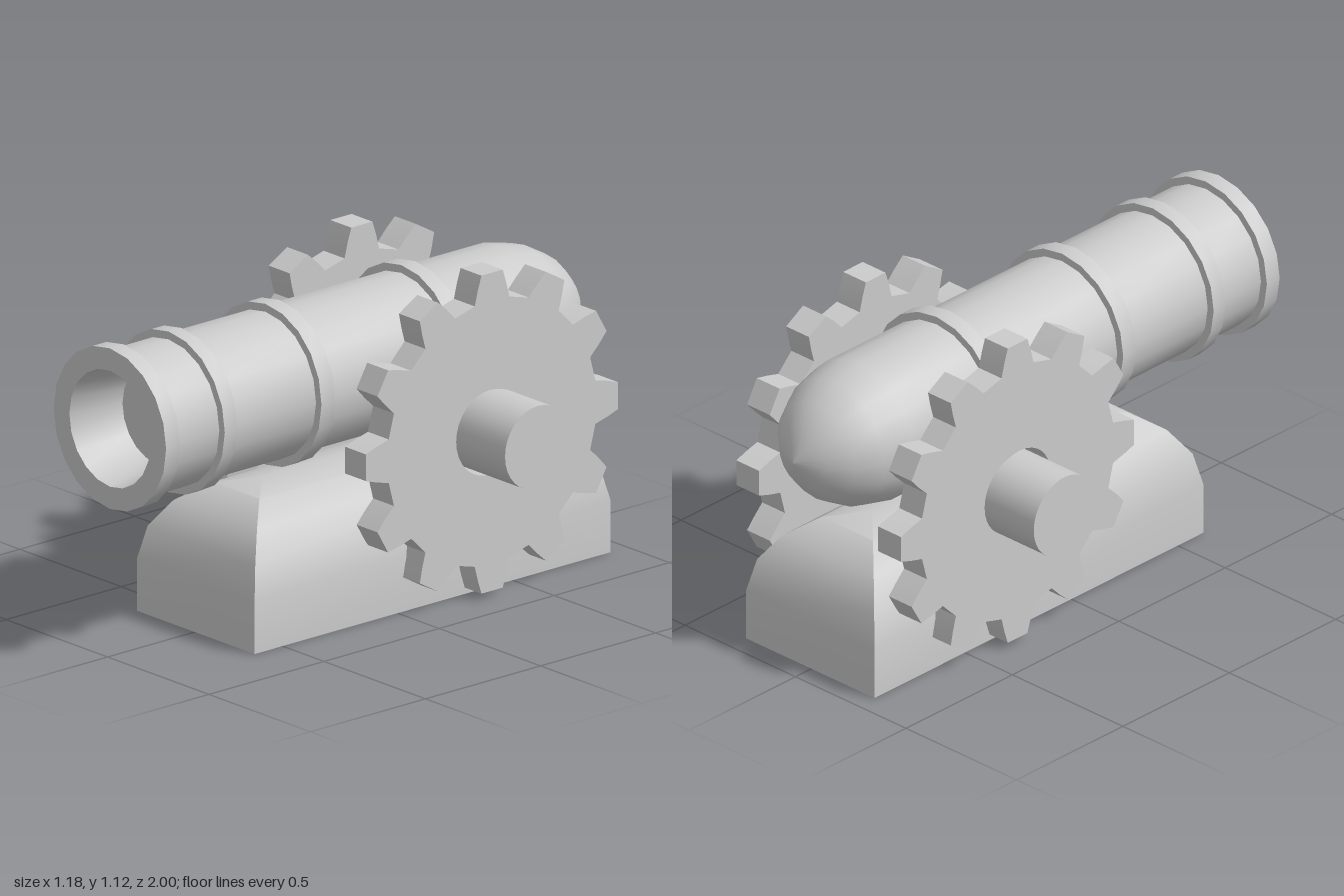
import * as THREE from 'three';
import { toCreasedNormals } from 'three/addons/utils/BufferGeometryUtils.js';

const material = new THREE.MeshStandardMaterial({ color: 0xcccccc });

function addMesh(group, name, geometry, x = 0, y = 0, z = 0) {
  const mesh = new THREE.Mesh(geometry, material);
  mesh.name = name;
  mesh.position.set(x, y, z);
  group.add(mesh);
  return mesh;
}

// Barrel: one turned profile with a domed breech, raised bands and a tapered bore.
function barrelGeometry() {
  const body = 0.25, band = 0.277;
  const profile = [[0, -1], [0.11, -0.95], [0.175, -0.89], [0.225, -0.8], [body, -0.69]];
  for (const [a, b] of [[-0.325, -0.265], [0.265, 0.325], [0.69, 0.745], [0.94, 1]]) {
    profile.push([body, a], [band, a], [band, b]);
    if (b < 1) profile.push([body, b]);
  }
  profile.push([0.2, 1], [0.165, 0.8], [0, 0.8]);
  const lathe = new THREE.LatheGeometry(profile.map(([r, h]) => new THREE.Vector2(r, h)), 20);
  lathe.rotateX(Math.PI / 2);
  return toCreasedNormals(lathe, 0.6);
}

// Gear wheel: twelve tapered teeth and an axle hole, extruded along x.
function gearGeometry(thickness) {
  const tooth = [[-9.5, 0.455], [-7, 0.505], [-4.8, 0.55], [4.8, 0.55], [7, 0.505], [9.5, 0.455]];
  const points = [];
  for (let i = 0; i < 12; i++) {
    for (const [offset, r] of tooth) {
      const a = THREE.MathUtils.degToRad(i * 30 + offset);
      points.push(new THREE.Vector2(r * Math.cos(a), r * Math.sin(a)));
    }
  }
  const shape = new THREE.Shape(points);
  shape.holes.push(new THREE.Path().absarc(-0.01, 0, 0.146, 0, Math.PI * 2, true));
  const geometry = new THREE.ExtrudeGeometry(shape, {
    depth: thickness, bevelEnabled: false, curveSegments: 16,
  });
  geometry.translate(0, 0, -thickness / 2);
  geometry.rotateY(Math.PI / 2);
  return toCreasedNormals(geometry, 0.4);
}

// Base block: rectangles inset level by level, closing to a ridge, with mitred hips.
function baseGeometry(halfX, halfZ) {
  const levels = [[0, 0], [0, 0.18], [0.025, 0.295], [0.085, 0.385], [0.175, 0.45], [halfX, 0.472]];
  const corners = [[-1, 1], [1, 1], [1, -1], [-1, -1]];
  const positions = [];
  const index = [];
  const point = (corner, [inset, y]) =>
    positions.push(corner[0] * (halfX - inset), y, corner[1] * (halfZ - inset));
  for (let side = 0; side < 4; side++) {
    const start = positions.length / 3;
    levels.forEach((level, i) => {
      point(corners[side], level);
      point(corners[(side + 1) % 4], level);
      if (i === 0) return;
      const a = start + (i - 1) * 2;
      index.push(a, a + 1, a + 3, a, a + 3, a + 2);
    });
  }
  const start = positions.length / 3;
  corners.forEach((corner) => point(corner, levels[0]));
  index.push(start, start + 2, start + 1, start, start + 3, start + 2);
  const geometry = new THREE.BufferGeometry();
  geometry.setAttribute('position', new THREE.Float32BufferAttribute(positions, 3));
  geometry.setIndex(index);
  return toCreasedNormals(geometry, 0.6);
}

export function createModel() {
  const group = new THREE.Group();
  group.name = 'cannon';

  addMesh(group, 'barrel', barrelGeometry(), 0.012, 0.79, 0);
  addMesh(group, 'base', baseGeometry(0.29, 0.773), 0.005, 0, -0.152);

  // Axle running through both wheels
  const axle = new THREE.CylinderGeometry(0.143, 0.143, 1.18, 32);
  axle.rotateZ(Math.PI / 2);
  addMesh(group, 'axle', axle, 0, 0.568, -0.35);

  // Pair of gear wheels
  const gear = gearGeometry(0.103);
  addMesh(group, 'leftGearWheel', gear, 0.326, 0.57, -0.338);
  addMesh(group, 'rightGearWheel', gear, -0.316, 0.57, -0.338);

  return group;
}
